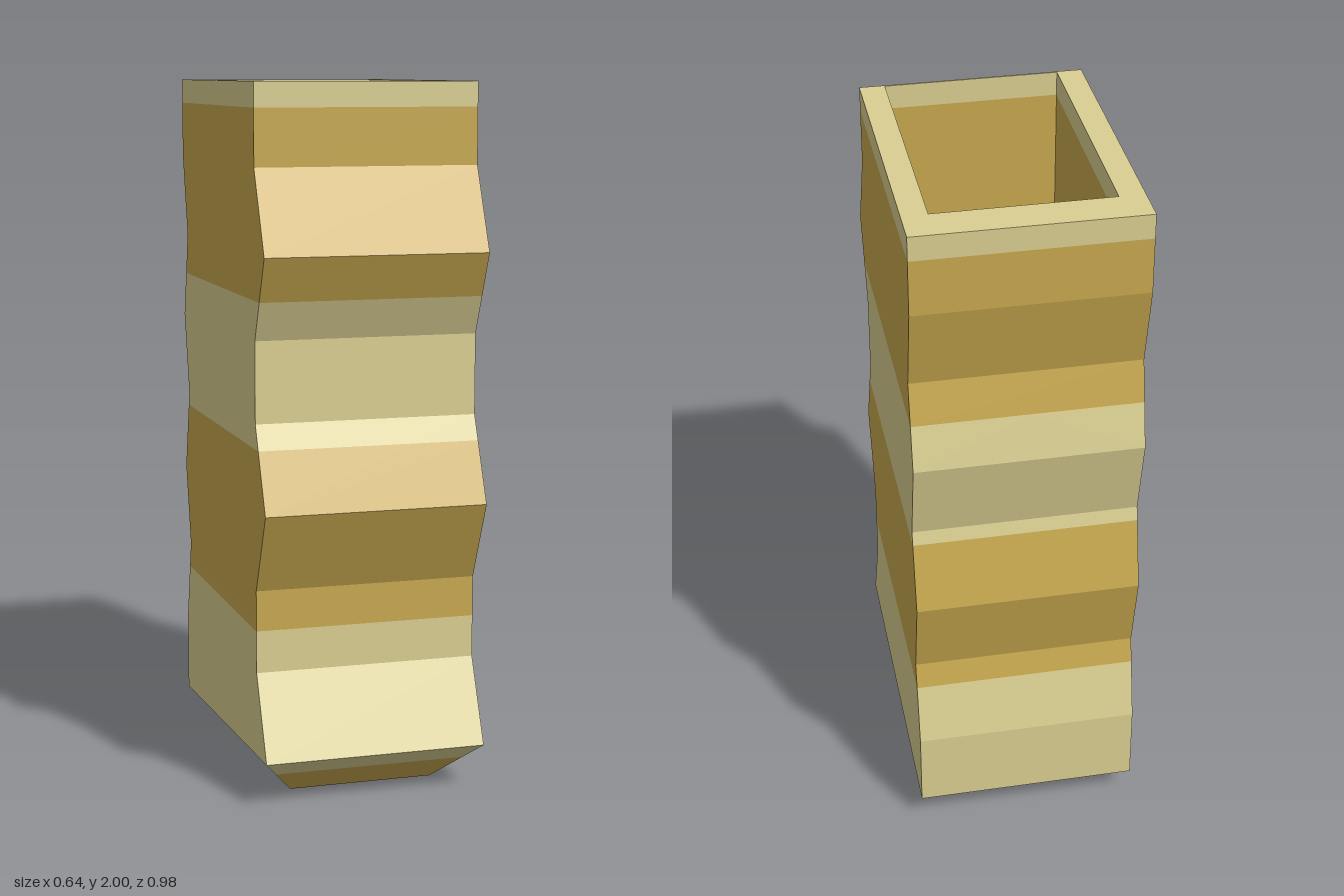
import * as THREE from 'three';

const W = 0.32; // half width of the body

// Outline seen from the side as [z, y]: down the front, then up the back
const front = [[0.385, 2], [0.385, 1.77], [0.49, 1.535], [0.385, 1.3], [0.385, 1.07],
  [0.49, 0.83], [0.385, 0.6], [0.385, 0.365], [0.49, 0.13]];
const back = [[-0.49, 0.08], [-0.49, 0.31], [-0.435, 0.56], [-0.49, 0.8], [-0.435, 1.04],
  [-0.49, 1.28], [-0.435, 1.53], [-0.49, 1.77], [-0.49, 2]];

// Heights where the two colours alternate, starting with ochre at the bottom
const bands = [0, 0.08, 0.485, 1.0, 1.41, 1.93, 2];

// Keep the part of a polygon above (sign 1) or below (sign -1) a height
function clip(poly, h, sign) {
  const out = [];
  poly.forEach((a, i) => {
    const b = poly[(i + 1) % poly.length];
    const da = (a.y - h) * sign, db = (b.y - h) * sign;
    if (da >= 0) out.push(a);
    if (da * db < 0) out.push(a.clone().lerp(b, da / (da - db)));
  });
  return out;
}

// Turn triangles into a flat-faced mesh with the colour bands as groups
function bandedMesh(name, tris, materials) {
  const pos = [[], []];
  for (let k = 0; k < bands.length - 1; k++) {
    for (const t of tris) {
      const p = clip(clip(t, bands[k], 1), bands[k + 1], -1);
      for (let i = 1; i + 1 < p.length; i++) {
        const [a, b, c] = [p[0], p[i], p[i + 1]];
        const area = b.clone().sub(a).cross(c.clone().sub(a)).length();
        if (area > 1e-8) [a, b, c].forEach(v => pos[k % 2].push(v.x, v.y, v.z));
      }
    }
  }
  const g = new THREE.BufferGeometry();
  g.setAttribute('position', new THREE.Float32BufferAttribute([...pos[0], ...pos[1]], 3));
  g.addGroup(0, pos[0].length / 3, 0);
  g.addGroup(pos[0].length / 3, pos[1].length / 3, 1);
  g.computeVertexNormals();
  const mesh = new THREE.Mesh(g, materials);
  mesh.name = name;
  return mesh;
}

const quad = (a, b, c, d) => [[a, b, c], [a, c, d]];

// Rectangle of corners, counter-clockwise from above
const ring = (w, zf, yf, zb, yb) => [
  new THREE.Vector3(-w, yf, zf), new THREE.Vector3(w, yf, zf),
  new THREE.Vector3(w, yb, zb), new THREE.Vector3(-w, yb, zb)];

// Four faces joining two rectangles
const loft = (lo, hi) => lo.flatMap((_, i) => {
  const j = (i + 1) % 4;
  return quad(lo[i], lo[j], hi[j], hi[i]);
});

export function createModel() {
  const group = new THREE.Group();
  const ochre = new THREE.MeshStandardMaterial({ color: 0xc8a94f });
  ochre.name = 'ochre';
  const pale = new THREE.MeshStandardMaterial({ color: 0xdacf92 });
  pale.name = 'pale sand';
  const materials = [ochre, pale];

  // Ridged front and back faces
  const strips = line => line.slice(1).flatMap(([z, y], i) => {
    const [z0, y0] = line[i];
    const v = (x, yy, zz) => new THREE.Vector3(x, yy, zz);
    return quad(v(-W, y, z), v(W, y, z), v(W, y0, z0), v(-W, y0, z0));
  });
  group.add(bandedMesh('frontRidges', strips(front), materials));
  group.add(bandedMesh('backRidges', strips(back), materials));

  // Flat sides cut to the outline
  const outline = [...front, ...back].map(([z, y]) => new THREE.Vector2(z, y));
  const faces = THREE.ShapeUtils.triangulateShape(outline, []);
  for (const s of [1, -1]) {
    const tris = faces.map(f => {
      const t = f.map(i => new THREE.Vector3(s * W, outline[i].y, outline[i].x));
      const n = t[1].clone().sub(t[0]).cross(t[2].clone().sub(t[0]));
      return n.x * s < 0 ? t.reverse() : t;
    });
    group.add(bandedMesh(s > 0 ? 'leftSide' : 'rightSide', tris, materials));
  }

  // Rim around the opening
  const outer = ring(W, 0.385, 2, -0.49, 2);
  const inner = ring(0.248, 0.38, 2, -0.38, 2);
  group.add(bandedMesh('rim', loft(outer, inner), materials));

  // Cavity walls and floor
  const floor = ring(0.248, 0.38, 0.2, -0.38, 0.2);
  group.add(bandedMesh('cavity', [...loft(inner, floor), ...quad(...floor)], materials));

  // Bevelled base, higher at the front
  const sole = ring(0.21, 0.335, 0, -0.335, 0);
  const edge = ring(W, 0.49, 0.13, -0.49, 0.08);
  group.add(bandedMesh('base', [...loft(sole, edge), ...quad(...[...sole].reverse())], materials));

  return group;
}
